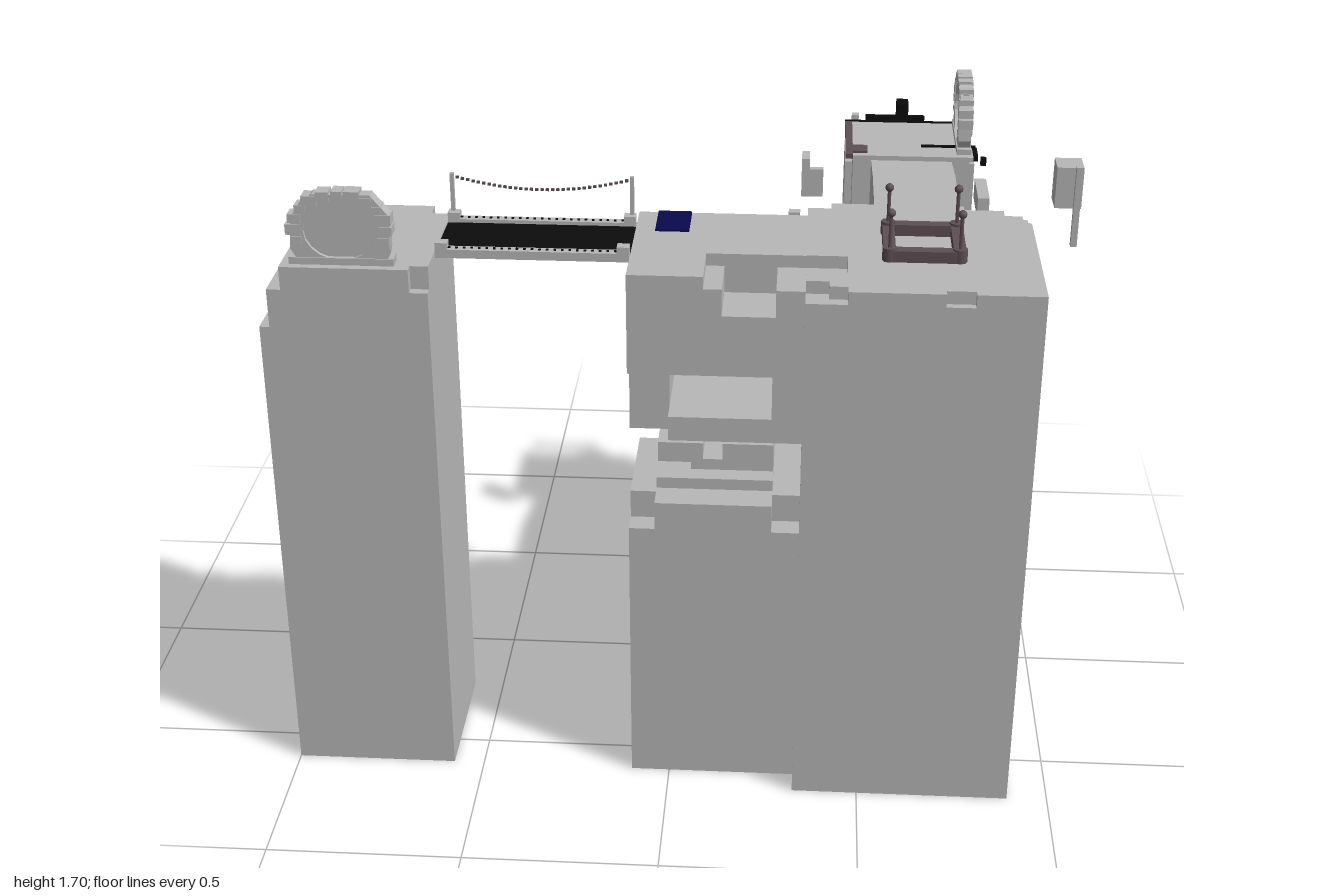
import * as THREE from 'three';

const mat = (name, color) => {
  const m = new THREE.MeshStandardMaterial({ color });
  m.name = name;
  return m;
};

export function createModel() {
  const stone = mat('stone grey', 0xb8b8b8);
  const black = mat('black', 0x0c0c0c);
  const brown = mat('dark brown', 0x5e5054);
  const navy = mat('navy', 0x0a0a50);
  const root = new THREE.Group();

  const add = (name, geo, m = stone, parent = root) => {
    const mesh = new THREE.Mesh(geo, m);
    mesh.name = name;
    parent.add(mesh);
    return mesh;
  };
  // Box given by its limits on each axis
  const box = (name, x0, x1, y0, y1, z0, z1, m = stone, parent = root) => {
    const g = new THREE.BoxGeometry(x1 - x0, y1 - y0, z1 - z0);
    g.translate((x0 + x1) / 2, (y0 + y1) / 2, (z0 + z1) / 2);
    return add(name, g, m, parent);
  };
  // Upright prism from a plan outline of [x, z] points, holes as [x0, x1, z0, z1]
  const prism = (name, pts, y0, y1, holes = []) => {
    const plan = p => p.map(([x, z]) => new THREE.Vector2(x, -z));
    const s = new THREE.Shape(plan(pts));
    for (const [a, b, c, d] of holes) s.holes.push(new THREE.Path(plan([[a, c], [b, c], [b, d], [a, d]])));
    const g = new THREE.ExtrudeGeometry(s, { depth: y1 - y0, bevelEnabled: false });
    g.rotateX(-Math.PI / 2).translate(0, y0, 0);
    return add(name, g);
  };

  // Left tower: shaft with a cut back corner, stepped outer ledges, cap with a pit
  const shaft = x => [[x, 0.18], [-0.63, 0.18], [-0.63, 0.23], [-0.58, 0.23], [-0.58, 0.6], [x, 0.6]];
  prism('leftTowerShaft', shaft(-1), 0, 1.28);
  prism('leftTowerLedge', shaft(-0.975), 1.28, 1.38);
  prism('leftTowerCap', [[-0.94, 0.18], [-0.63, 0.18], [-0.63, 0.23], [-0.58, 0.23], [-0.58, 0.575],
    [-0.625, 0.575], [-0.625, 0.6], [-0.94, 0.6]], 1.38, 1.44, [[-0.83, -0.72, 0.31, 0.45]]);
  box('pitBlock', -0.79, -0.73, 1.38, 1.42, 0.385, 0.415);
  box('pitBlock', -0.825, -0.8, 1.38, 1.42, 0.345, 0.375);

  // Ruined ring gate: rough rim, thin inner panel, loose blocks round the edge
  const gate = () => {
    const g = new THREE.Group();
    g.name = 'ringGate';
    const rim = new THREE.Shape([[-0.1, 0], [0.11, 0], [0.12, 0.04], [0.122, 0.13], [0.1, 0.155], [0.08, 0.18],
      [-0.06, 0.18], [-0.09, 0.16], [-0.115, 0.12], [-0.122, 0.04]].map(p => new THREE.Vector2(...p)));
    const hole = new THREE.Path();
    hole.absellipse(0, 0.085, 0.088, 0.073, 0, Math.PI * 2);
    rim.holes.push(hole);
    add('gateRim', new THREE.ExtrudeGeometry(rim, { depth: 0.034, bevelEnabled: false, curveSegments: 10 })
      .translate(0, 0, -0.017), stone, g);
    box('gatePanel', -0.09, 0.09, 0.01, 0.165, -0.008, 0.008, stone, g);
    for (let i = 0; i < 13; i++) {
      const a = -0.35 + (i / 12) * (Math.PI + 0.7);
      const x = Math.cos(a) * 0.112, y = 0.092 + Math.sin(a) * 0.088, r = 0.013 + (i % 3) * 0.003;
      box('gateStone', x - r, x + r, y - r * 0.7, y + r * 0.7, -0.02, 0.02, stone, g);
    }
    box('gateSill', -0.128, 0.128, 0, 0.018, -0.02, 0.02, stone, g);
    root.add(g);
    return g;
  };
  gate().position.set(-0.79, 1.44, 0.56);
  const backGate = gate();
  backGate.position.set(0.755, 1.425, -0.45);
  backGate.rotation.y = Math.PI / 2;

  // Bridge with side beams, end blocks, studs and one rope
  box('bridgeDeck', -0.575, -0.1, 1.437, 1.446, 0.3, 0.48, black);
  for (const z of [0.29, 0.49]) {
    box('bridgeBeam', -0.575, -0.1, 1.433, 1.455, z - 0.013, z + 0.013);
    for (const x of [-0.56, -0.115]) box('beamEnd', x - 0.015, x + 0.015, 1.433, 1.472, z - 0.014, z + 0.014);
    for (let i = 1; i < 24; i++) {
      const x = -0.56 + i * 0.0185;
      box('beamStud', x - 0.003, x + 0.003, 1.454, 1.458, z - 0.003, z + 0.003, black);
    }
  }
  for (const x of [-0.563, -0.11]) box('ropePost', x - 0.005, x + 0.005, 1.46, 1.572, 0.28, 0.29);
  for (let i = 0; i <= 34; i++) {
    const t = i / 34, bead = new THREE.BoxGeometry(0.008, 0.006, 0.006);
    bead.translate(-0.563 + 0.453 * t, 1.565 - 0.13 * t * (1 - t), 0.285);
    add('ropeBead', bead, brown);
  }

  // Broken wing, lower half with rubble
  box('wingBase', -0.1, 0.33, 0, 0.745, 0.19, 0.6);
  box('wingBaseTop', -0.1, 0.33, 0.745, 0.82, 0.25, 0.54);
  box('wingBaseTop', -0.035, 0.26, 0.745, 0.82, 0.19, 0.6);
  box('rubble', -0.035, 0.26, 0.82, 0.85, 0.27, 0.52);
  box('rubble', -0.035, 0.08, 0.87, 0.925, 0.3, 0.47);
  box('rubble', 0.05, 0.14, 0.85, 0.88, 0.3, 0.47);
  box('rubble', 0.13, 0.26, 0.82, 0.925, 0.3, 0.47);
  // Upper half with an open window
  box('wingPillar', 0.08, 0.13, 0.93, 1.02, 0.36, 0.42);
  box('windowFloor', 0, 0.26, 1, 1.065, 0.19, 0.6);
  box('windowJamb', -0.1, 0, 1, 1.18, 0.19, 0.54);
  box('windowJamb', 0.255, 0.33, 1, 1.18, 0.19, 0.6);
  box('windowHanger', 0.08, 0.13, 1.13, 1.19, 0.33, 0.45);
  box('wingBody', -0.1, 0.33, 1.18, 1.34, 0.19, 0.6);
  prism('wingUpper', [[-0.1, 0.19], [0.33, 0.19], [0.33, 0.6], [0.26, 0.6], [0.26, 0.455], [0.13, 0.455],
    [0.13, 0.6], [-0.1, 0.6]], 1.34, 1.41);
  prism('wingCap', [[-0.1, 0.19], [0.33, 0.19], [0.33, 0.455], [0.085, 0.455], [0.085, 0.6], [-0.1, 0.6]], 1.41, 1.442);
  box('bluePanel', -0.05, 0.035, 1.442, 1.448, 0.195, 0.32, navy);

  // Main tower with two open shafts and a notched cap
  const shafts = [[0.76, 0.83, 0.55, 0.625], [0.66, 0.73, 0.36, 0.44]];
  prism('mainTower', [[0.33, 0.105], [0.895, 0.105], [0.895, 0.67], [0.33, 0.67]], 0, 1.41, shafts);
  prism('mainTowerCap', [[0.33, 0.14], [0.39, 0.14], [0.39, 0.105], [0.73, 0.105], [0.73, 0.13], [0.83, 0.13],
    [0.83, 0.165], [0.875, 0.165], [0.875, 0.21], [0.895, 0.21], [0.895, 0.67], [0.73, 0.67], [0.73, 0.65],
    [0.66, 0.65], [0.66, 0.67], [0.43, 0.67], [0.43, 0.64], [0.385, 0.64], [0.385, 0.61], [0.33, 0.61],
    [0.33, 0.555], [0.43, 0.555], [0.43, 0.455], [0.33, 0.455]], 1.41, 1.443, shafts);

  // Square plinth frame with four knobbed posts
  const cx = 0.615, cz = 0.385, r = 0.085;
  for (const s of [-1, 1]) {
    box('plinthBeam', cx - r, cx + r, 1.443, 1.472, cz + s * r - 0.015, cz + s * r + 0.015, brown);
    box('plinthBeam', cx + s * r - 0.015, cx + s * r + 0.015, 1.443, 1.47, cz - r, cz + r, brown);
    for (const t of [-1, 1]) {
      const x = cx + s * r, z = cz + t * r;
      add('plinthFoot', new THREE.CylinderGeometry(0.018, 0.018, 0.034, 8), brown).position.set(x, 1.46, z);
      add('plinthPost', new THREE.CylinderGeometry(0.005, 0.005, 0.1, 6), brown).position.set(x, 1.515, z);
      add('plinthKnob', new THREE.SphereGeometry(0.011, 8, 6), brown).position.set(x, 1.565, z);
    }
  }

  // Neck with shallow steps down to the rear tower
  box('neck', 0.5, 0.72, 0, 1.415, -0.3, 0.105);
  box('neckTop', 0.5, 0.72, 1.415, 1.443, -0.13, 0.105);
  for (let i = 0; i < 5; i++) box('step', 0.5, 0.72, 1.415, 1.438 - i * 0.004, -0.16 - i * 0.03, -0.13 - i * 0.03);

  // Rear tower: shaft, raised roof slab, trim
  box('rearTower', 0.43, 0.79, 0, 1.38, -0.56, -0.38);
  box('rearTowerFront', 0.45, 0.75, 0, 1.38, -0.38, -0.3);
  box('rearTowerBack', 0.44, 0.78, 0, 1.38, -0.585, -0.56);
  box('roofSupport', 0.45, 0.77, 1.38, 1.418, -0.38, -0.3);
  box('roofSupport', 0.44, 0.78, 1.38, 1.418, -0.582, -0.565);
  box('roofSlab', 0.45, 0.78, 1.416, 1.428, -0.58, -0.3);
  box('roofEdge', 0.43, 0.45, 1.414, 1.428, -0.585, -0.31, brown);
  box('roofCorner', 0.45, 0.49, 1.428, 1.434, -0.37, -0.32, brown);
  box('backTrim', 0.43, 0.79, 1.41, 1.43, -0.592, -0.583, black);
  box('backPlate', 0.5, 0.72, 1.34, 1.395, -0.59, -0.584, black);
  box('sideTrim', 0.78, 0.793, 1.414, 1.43, -0.38, -0.31, black);
  box('frontTrim', 0.64, 0.79, 1.414, 1.432, -0.388, -0.376, black);
  box('hangingBlock', 0.565, 0.597, 1.52, 1.565, -0.385, -0.335, black);

  // Loose floating pieces
  box('floatingBlock', 0.93, 0.995, 1.54, 1.645, 0.28, 0.35);
  box('floatingBar', 0.957, 0.972, 1.5, 1.7, 0.483, 0.498);
  box('floatingBeam', 0.77, 0.8, 1.39, 1.443, -0.1, 0.045);
  box('floatingSign', 0.49, 0.66, 1.39, 1.42, -0.672, -0.655, black);
  box('floatingChip', 0.45, 0.47, 1.385, 1.425, -0.67, -0.645);
  box('floatingChip', 0.28, 0.31, 1.37, 1.4, 0.04, 0.065);
  box('floatingChip', 0.797, 0.812, 1.42, 1.44, -0.278, -0.26, black);
  box('floatingCorner', 0.31, 0.332, 1.3, 1.41, -0.375, -0.31);
  box('floatingCorner', 0.332, 0.37, 1.3, 1.38, -0.33, -0.31);

  return root;
}
